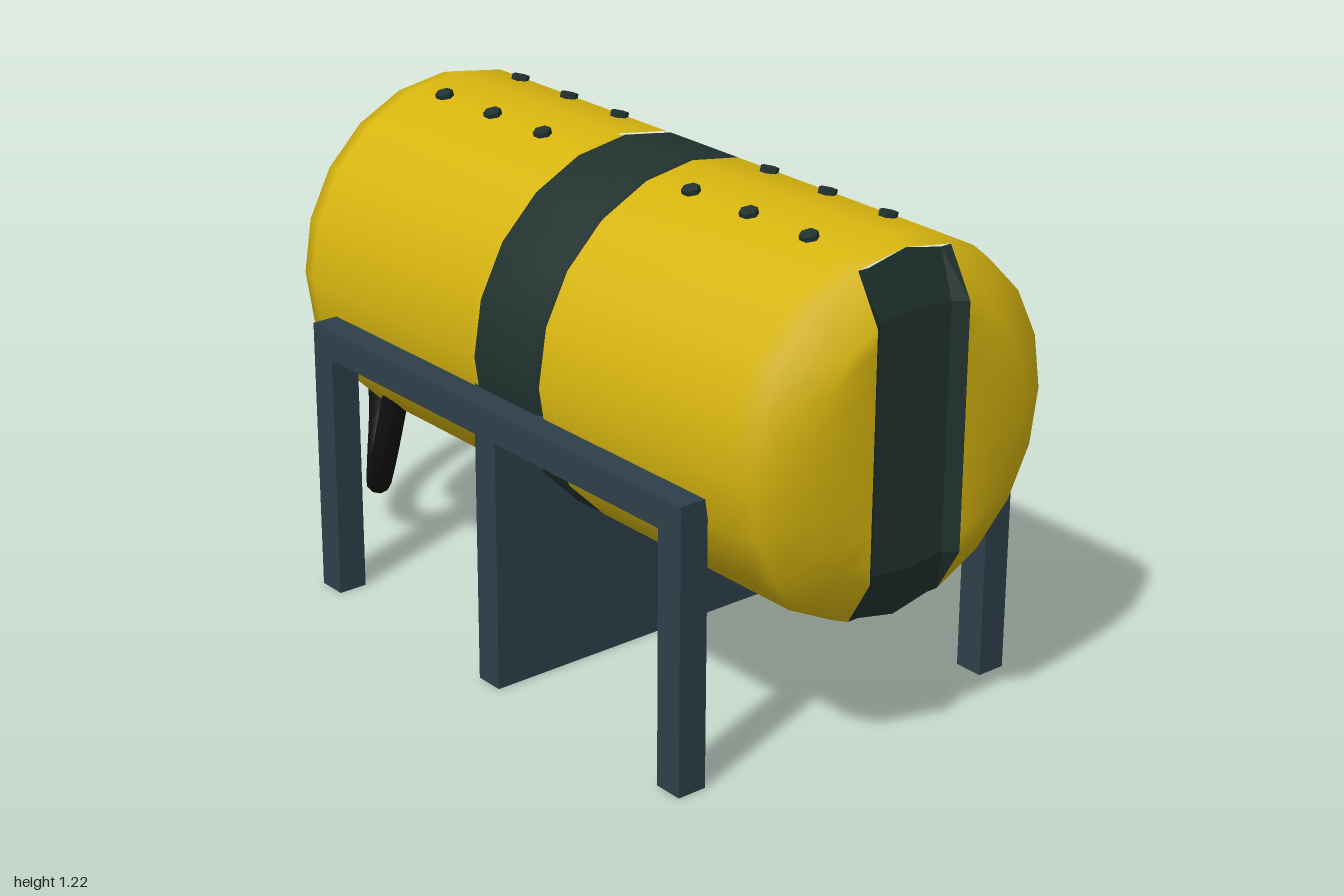
import * as THREE from 'three';
import { mergeGeometries, mergeVertices } from 'three/addons/utils/BufferGeometryUtils.js';

const AXIS_Y = 0.777, R = 0.445, SLOT = 0.135;
const mat = (color, extra = {}) => new THREE.MeshStandardMaterial({ color, ...extra });

function addMesh(parent, name, geometry, material, x = 0, y = 0, z = 0) {
  const mesh = new THREE.Mesh(geometry, material);
  mesh.name = name;
  mesh.position.set(x, y, z);
  parent.add(mesh);
  return mesh;
}

// Surface through rows of points; (column direction) x (row direction) faces out
function grid(rows) {
  const n = rows[0].length, index = [];
  for (let i = 0; i < rows.length - 1; i++) {
    for (let j = 0; j < n - 1; j++) {
      const a = i * n + j, c = a + n;
      index.push(a, a + 1, c, a + 1, c + 1, c);
    }
  }
  const g = new THREE.BufferGeometry();
  g.setAttribute('position', new THREE.Float32BufferAttribute(rows.flat(2), 3));
  g.setIndex(index);
  return g;
}

// Half of the tank along +z, with a slot down the end face
function tankSection(z0, z1, name, yellow, dark) {
  const section = new THREE.Group();
  section.name = name;
  const rings = [[R, z0], [R, z1 - 0.12], [0.43, z1 - 0.065], [0.325, z1]];
  const parts = [];
  for (const s of [1, -1]) {
    // Side shell, chamfer and flat end beside the slot
    const rows = rings.map(([r, z]) => Array.from({ length: 9 }, (_, k) => {
      const a = s * Math.acos(SLOT / r) * (k / 4 - 1);
      return [s * r * Math.cos(a), r * Math.sin(a), z];
    }));
    rows.push(rows[3].map(([, y, z]) => [s * SLOT, y, z]));
    parts.push(grid(rows));
    // Shell above and below the slot
    parts.push(grid(rings.slice(0, 3).map(([r, z]) =>
      [SLOT, 0, -SLOT].map(x => [s * x, s * r * Math.sin(Math.acos(x / r)), z]))));
  }
  const shell = mergeVertices(mergeGeometries(parts), 1e-4);
  shell.computeVertexNormals();
  addMesh(section, 'tankShell', shell, yellow);

  // Recessed end panel with sloped sides
  const panelRow = (t, edgeY, edgeZ, floorY, midY, floorZ) => [
    [-SLOT, t * edgeY, edgeZ], [-0.105, t * floorY, floorZ], [0, t * midY, floorZ],
    [0.105, t * floorY, floorZ], [SLOT, t * edgeY, edgeZ]];
  const rim = t => panelRow(t, 0.408, z1 - 0.065, 0.408, 0.43, z1 - 0.065);
  const flat = t => panelRow(t, 0.2956, z1, 0.295, 0.305, z1 - 0.026);
  const panel = grid([rim(-1), flat(-1), flat(1), rim(1)]);
  panel.computeVertexNormals();
  addMesh(section, 'endPanel', panel, dark);
  section.position.y = AXIS_Y;
  return section;
}

export function createModel() {
  const model = new THREE.Group();
  model.name = 'tankOnStand';
  const yellow = mat(0xd6b40f);
  const dark = mat(0x21322e, { flatShading: true });
  const bandMat = mat(0x21322e, { side: THREE.DoubleSide });
  const steel = mat(0x2e3f4a);
  const black = mat(0x101010);

  // Tank halves
  model.add(tankSection(0.238, 1, 'frontTank', yellow, dark));
  const back = tankSection(0.02, 0.79, 'backTank', yellow, dark);
  back.rotation.y = Math.PI;
  model.add(back);

  // Core and band between the halves
  const core = new THREE.CylinderGeometry(0.43, 0.43, 0.34, 20).rotateX(Math.PI / 2);
  addMesh(model, 'tankCore', core, yellow, 0, AXIS_Y, 0.11);
  const bandProfile = [[0.43, -0.015], [R, -0.005], [R, 0.21], [0.43, 0.22]]
    .map(([r, z]) => new THREE.Vector2(r, z));
  const band = new THREE.LatheGeometry(bandProfile, 20).rotateX(Math.PI / 2);
  addMesh(model, 'middleBand', band, bandMat, 0, AXIS_Y, 0);

  // Two rows of hexagonal bolts on top
  const boltGeo = new THREE.CylinderGeometry(0.022, 0.022, 0.04, 6);
  for (const s of [1, -1]) {
    for (const z of [0.76, 0.565, 0.37, -0.17, -0.365, -0.56]) {
      const a = s * 0.262, r = 0.435;
      const bolt = addMesh(model, 'bolt', boltGeo, dark,
        r * Math.sin(a), AXIS_Y + r * Math.cos(a), z);
      bolt.rotation.z = -a;
    }
  }

  // Stand: cross plate, side rails and corner legs
  const T = 0.075;
  addMesh(model, 'crossPlate', new THREE.BoxGeometry(1, 0.66, T), steel, 0, 0.33, 0.105);
  for (const s of [1, -1]) {
    const x = s * (0.5 - T / 2);
    addMesh(model, 'sideRail', new THREE.BoxGeometry(T, T, 1.39), steel, x, 0.7 - T / 2, 0.105);
    for (const z of [0.8 - T / 2, -0.59 + T / 2]) {
      addMesh(model, 'leg', new THREE.BoxGeometry(T, 0.625, T), steel, x, 0.3125, z);
    }
  }

  // Hose and its socket on the back
  const socket = new THREE.CylinderGeometry(0.105, 0.105, 0.065, 12).rotateX(Math.PI / 2);
  addMesh(model, 'hoseSocket', socket, mat(0x101010, { flatShading: true }), 0, AXIS_Y, -0.79);
  const path = [[0, 0.785, -0.79], [-0.005, 0.775, -0.85], [-0.015, 0.73, -0.91], [-0.035, 0.6, -0.955],
    [-0.05, 0.45, -0.967], [-0.07, 0.23, -0.945], [-0.11, 0.14, -0.9], [-0.165, 0.115, -0.825],
    [-0.225, 0.16, -0.735], [-0.26, 0.28, -0.65], [-0.27, 0.46, -0.58]]
    .map(p => new THREE.Vector3(...p));
  const hose = new THREE.TubeGeometry(new THREE.CatmullRomCurve3(path), 32, 0.033, 10);
  addMesh(model, 'hose', hose, black);

  return model;
}
